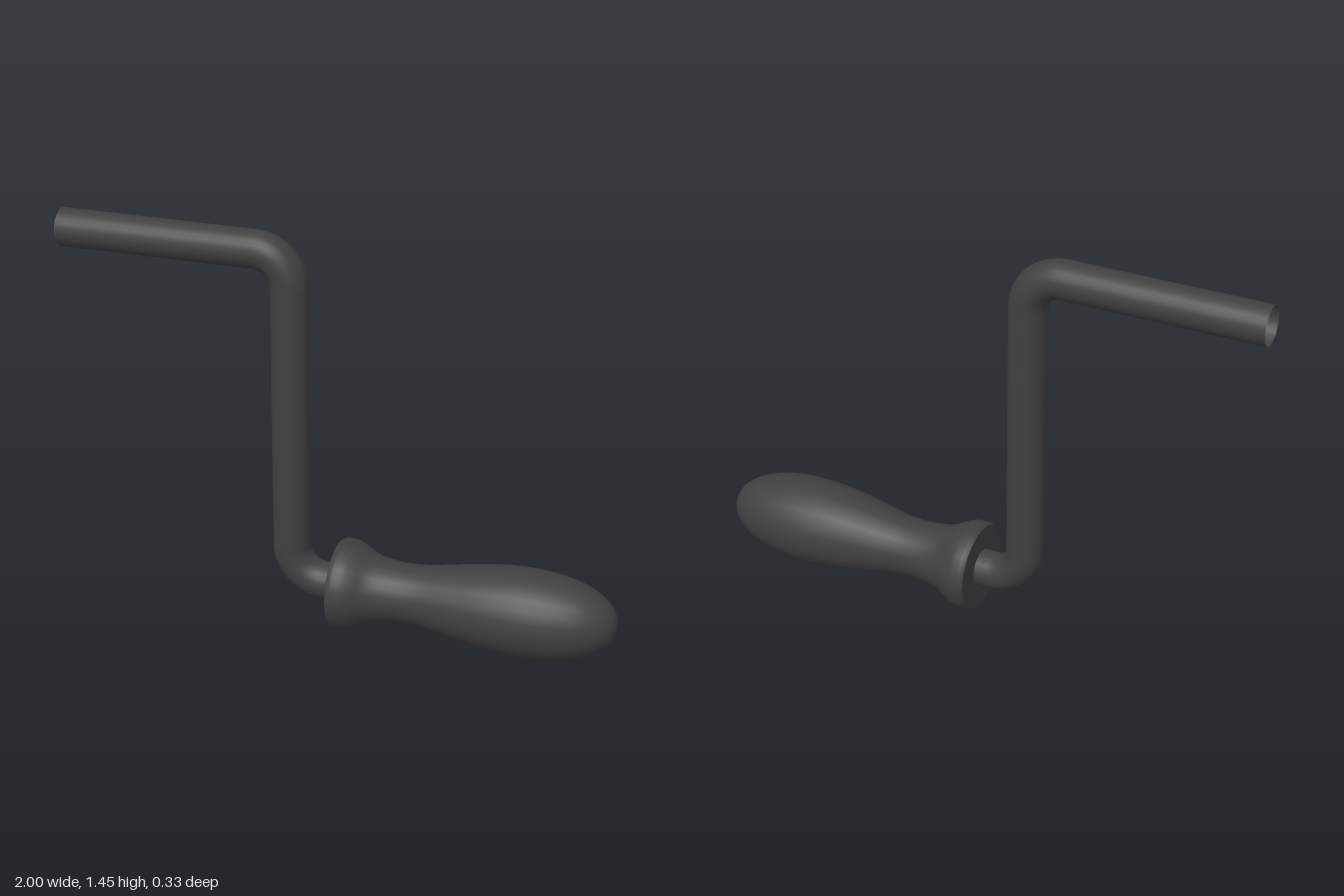
import * as THREE from 'three';
import { toCreasedNormals } from 'three/addons/utils/BufferGeometryUtils.js';

const AXIS_Y = 0.164;   // height of the grip axis
const SHAFT_Y = 1.382;  // height of the upper shaft
const ARM_X = -0.175;   // position of the upright arm
const ROD_R = 0.067;
const BEND_R = 0.125;

const v = (x, y) => new THREE.Vector3(x, y, 0);

// Straight runs joined by quarter-circle bends
function rodPath(corners) {
  const path = new THREE.CurvePath();
  let from = corners[0];
  for (let i = 1; i < corners.length - 1; i++) {
    const c = corners[i];
    const toPrev = corners[i - 1].clone().sub(c).normalize();
    const toNext = corners[i + 1].clone().sub(c).normalize();
    const at = (dir, d) => c.clone().addScaledVector(dir, d);
    const start = at(toPrev, BEND_R), end = at(toNext, BEND_R);
    const k = BEND_R * (1 - 0.5523);
    path.add(new THREE.LineCurve3(from, start));
    path.add(new THREE.CubicBezierCurve3(start, at(toPrev, k), at(toNext, k), end));
    from = end;
  }
  path.add(new THREE.LineCurve3(from, corners[corners.length - 1]));
  return path;
}

export function createModel() {
  const model = new THREE.Group();
  model.name = 'handCrank';
  const dark = new THREE.MeshStandardMaterial({ color: 0x404040, side: THREE.DoubleSide });

  // Bent rod, open at its free end
  const path = rodPath([v(-1, SHAFT_Y), v(ARM_X, SHAFT_Y), v(ARM_X, AXIS_Y), v(0.03, AXIS_Y)]);
  const rod = new THREE.Mesh(new THREE.TubeGeometry(path, 140, ROD_R, 24, false), dark);
  rod.name = 'crankRod';
  model.add(rod);

  // Turned grip: flared collar, narrow neck, swelling body and round tip
  const body = new THREE.SplineCurve([
    [0.01, 0.163], [0.045, 0.161], [0.08, 0.148], [0.13, 0.122], [0.2, 0.109],
    [0.3, 0.109], [0.42, 0.129], [0.54, 0.149], [0.66, 0.158], [0.78, 0.151],
    [0.88, 0.127], [0.95, 0.089], [0.985, 0.05], [1, 0],
  ].map(([x, r]) => new THREE.Vector2(r, x))).getPoints(48);
  body[body.length - 1].x = 0;
  const profile = [new THREE.Vector2(0, -0.005), new THREE.Vector2(0.155, -0.005), ...body];
  const gripGeometry = toCreasedNormals(new THREE.LatheGeometry(profile, 24), 0.6);
  const grip = new THREE.Mesh(gripGeometry, dark);
  grip.name = 'grip';
  grip.rotation.z = -Math.PI / 2;
  grip.position.y = AXIS_Y;
  model.add(grip);

  return model;
}
